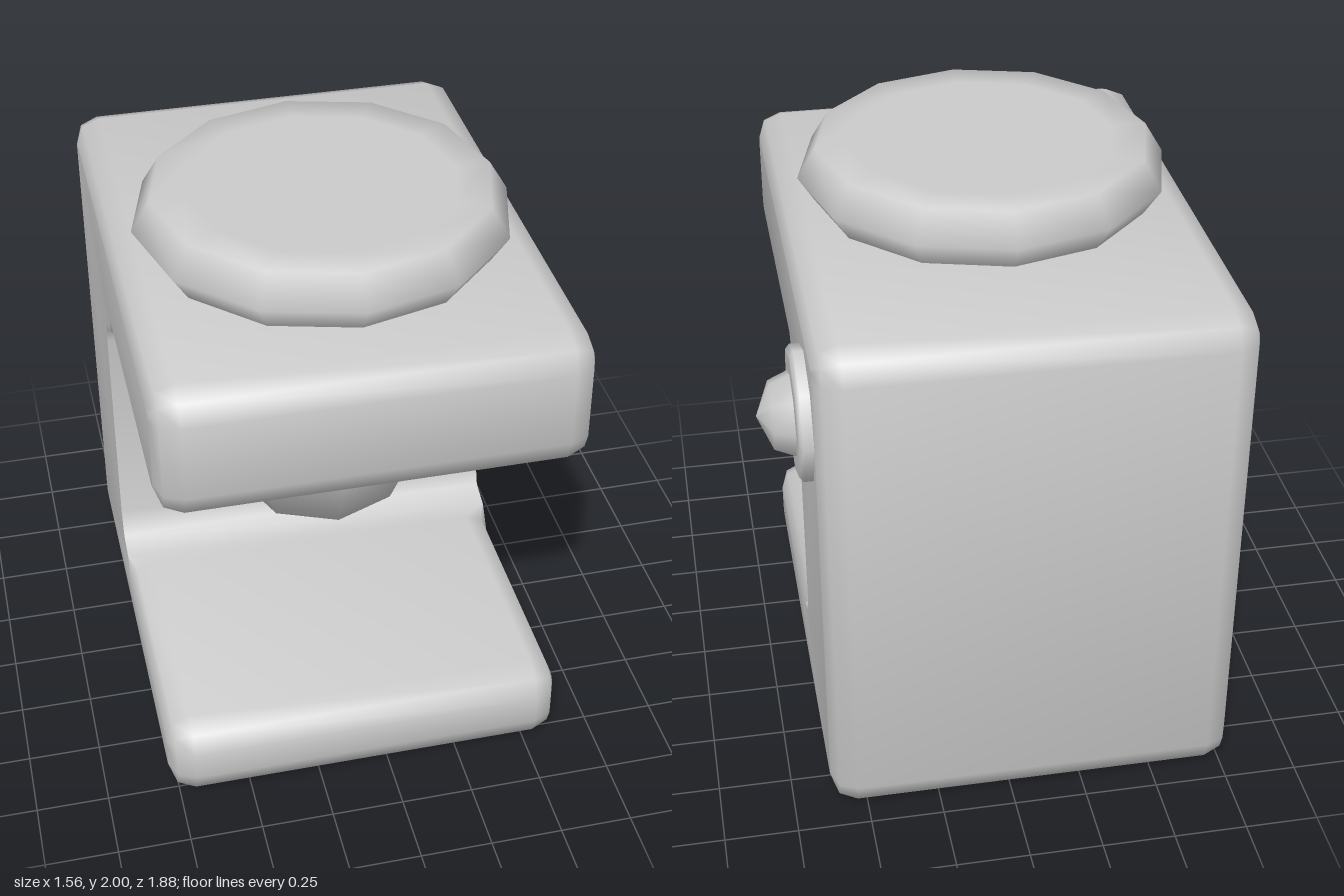
import * as THREE from 'three';
import { toCreasedNormals } from 'three/addons/utils/BufferGeometryUtils.js';

const grey = new THREE.MeshStandardMaterial({ color: 0xcccccc });
const CENTER_X = -0.08, HALF_WIDTH = 0.7, BEVEL = 0.085;

// C-shaped side profile as [z, y, w]; w = 1 gets a rounded side edge, 0 stays sharp
function bracketProfile() {
  const pts = [];
  // rounded outer corner: (z, y), incoming direction and outgoing direction
  const corner = (z, y, inZ, inY, outZ, outY, r = 0.1) => {
    pts.push([z - inZ * r, y - inY * r, 1]);
    pts.push([z + (outZ - inZ) * r * 0.28, y + (outY - inY) * r * 0.28, 1]);
    pts.push([z + outZ * r, y + outY * r, 1]);
  };
  corner(-0.94, 0, 0, -1, 1, 0);
  corner(0.82, 0, 1, 0, 0, 1);
  corner(0.82, 0.305, 0, 1, -1, 0);
  // inner fillets between arms and column
  pts.push([-0.1, 0.305, 1], [-0.16, 0.305, 0], [-0.25, 0.335, 0], [-0.28, 0.43, 0]);
  pts.push([-0.28, 1.22, 0], [-0.25, 1.31, 0], [-0.16, 1.34, 0], [-0.1, 1.34, 1]);
  corner(0.94, 1.34, 1, 0, 0, 1);
  corner(0.94, 1.805, 0, 1, -1, 0);
  corner(-0.94, 1.805, -1, 0, 0, -1);
  return pts;
}

// Loft the profile across x, shrinking it toward both sides for the rounded edges
function bracketGeometry() {
  const profile = bracketProfile(), n = profile.length;
  const p = profile.map(([z, y]) => new THREE.Vector2(z, y));
  const inward = p.map((q, i) => {
    const a = q.clone().sub(p[(i + n - 1) % n]).normalize();
    const b = p[(i + 1) % n].clone().sub(q).normalize();
    return new THREE.Vector2(-a.y - b.y, a.x + b.x).divideScalar(1 + a.dot(b));
  });
  const steps = [[0, 1], [0.28, 0.28], [1, 0]]; // [side setback, profile inset]
  const rings = [...steps.map((s) => [-1, ...s]), ...steps.slice().reverse().map((s) => [1, ...s])];
  const position = [], index = [];
  for (const [side, setback, inset] of rings) {
    p.forEach((q, i) => {
      const w = profile[i][2] * BEVEL;
      const v = q.clone().addScaledVector(inward[i], inset * w);
      position.push(side * (HALF_WIDTH - setback * w), v.y, v.x);
    });
  }
  for (let k = 0; k < rings.length - 1; k++) {
    for (let i = 0; i < n; i++) {
      const j = (i + 1) % n;
      if (k !== 2 && !profile[i][2] && !profile[j][2]) continue;
      const a = k * n + i, b = k * n + j;
      if (k === 2 || profile[i][2]) index.push(a, a + n, b);
      if (k === 2 || profile[j][2]) index.push(b, a + n, b + n);
    }
  }
  // flat side caps
  const cap = p.map((q, i) => q.clone().addScaledVector(inward[i], profile[i][2] * BEVEL));
  const last = (rings.length - 1) * n;
  for (const [a, b, c] of THREE.ShapeUtils.triangulateShape(cap, [])) {
    index.push(a, b, c, last + c, last + b, last + a);
  }
  const geo = new THREE.BufferGeometry();
  geo.setAttribute('position', new THREE.Float32BufferAttribute(position, 3));
  geo.setIndex(index);
  return toCreasedNormals(geo, Math.PI / 3);
}

// Turned part from [radius, height] points, bottom to top
function turned(name, points, sides) {
  const geo = new THREE.LatheGeometry(points.map(([r, y]) => new THREE.Vector2(r, y)), sides);
  const mesh = new THREE.Mesh(geo, grey);
  mesh.name = name;
  return mesh;
}

export function createModel() {
  const model = new THREE.Group();
  model.name = 'clampBracket';

  const bracket = new THREE.Mesh(bracketGeometry(), grey);
  bracket.name = 'bracket';
  bracket.position.x = CENTER_X;
  model.add(bracket);

  // Wide cap on top of the upper arm
  const knob = turned('topKnob', [[0.54, 1.76], [0.575, 1.81], [0.63, 1.895], [0.567, 2], [0.45, 2], [0, 2]], 12);
  knob.position.set(CENTER_X, 0, 0.11);
  model.add(knob);

  // Round-ended plunger below the upper arm
  const R = 0.412, S = R * Math.SQRT1_2;
  const plunger = turned('plunger', [[0, 1.08 - R], [S, 1.08 - S], [R, 1.08], [R, 1.5]], 8);
  plunger.position.set(-0.085, 0, 0.082);
  model.add(plunger);

  // Side bolt: washer and domed head
  const bolt = new THREE.Group();
  bolt.name = 'sideBolt';
  bolt.add(
    turned('washer', [[0.225, -0.02], [0.225, 0.032], [0.21, 0.045], [0.19, 0.047], [0, 0.047]], 8),
    turned('boltHead', [[0.16, 0], [0.148, 0.061], [0.113, 0.113], [0.061, 0.148], [0, 0.16]].filter((_, i) => i % 2 === 0), 8)
  );
  bolt.rotation.z = -Math.PI / 2;
  bolt.position.set(0.62, 1.44, -0.625);
  model.add(bolt);

  return model;
}
